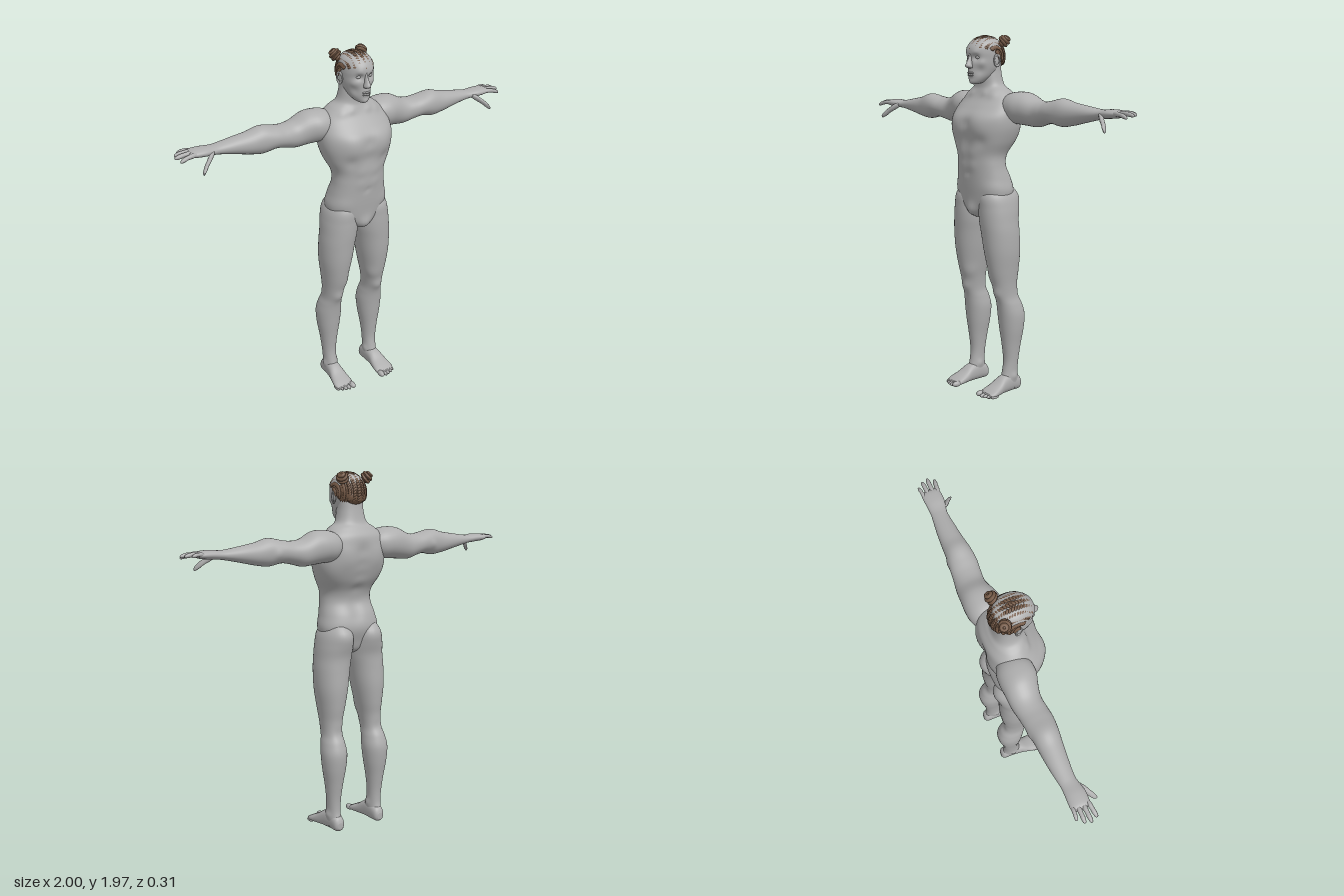
import * as THREE from 'three';
import { mergeGeometries } from 'three/addons/utils/BufferGeometryUtils.js';

const skin = new THREE.MeshStandardMaterial({ color: 0xaeaeae });
skin.name = 'skin grey';
const hair = new THREE.MeshStandardMaterial({ color: 0x735845 });
hair.name = 'hair brown';

// Smooth loft along an axis. Rows: [position, aMin, aMax, bMin, bMax], with
// (a, b) = (x, z) along y, (y, z) along x and (x, y) along z.
function loft(axis, rows, { sides = 40, steps = 6, power = 1, bumps = [] } = {}) {
  const pos = [], index = [];
  const put = (t, a, b) => pos.push(...(axis === 'y' ? [a, t, b] : axis === 'x' ? [t, a, b] : [a, b, t]));
  const at = i => rows[Math.min(rows.length - 1, Math.max(0, i))];
  const round = v => Math.sign(v) * Math.abs(v) ** power;
  const rings = (rows.length - 1) * steps + 1;
  for (let r = 0; r < rings; r++) {
    const i = Math.min(rows.length - 2, Math.floor(r / steps)), u = r / steps - i;
    const [t, a0, a1, b0, b1] = rows[0].map((_, k) => {
      const p = at(i - 1)[k], q = at(i)[k], s = at(i + 1)[k], w = at(i + 2)[k];
      return q + 0.5 * u * (s - p + u * (2 * p - 5 * q + 4 * s - w + u * (3 * (q - s) + w - p)));
    });
    for (let j = 0; j < sides; j++) {
      const g = j / sides * Math.PI * 2;
      put(t, (a0 + a1) / 2 + (a1 - a0) / 2 * round(Math.cos(g)), (b0 + b1) / 2 + (b1 - b0) / 2 * round(Math.sin(g)));
    }
  }
  for (const e of [at(0), at(rows.length)]) put(e[0], (e[1] + e[2]) / 2, (e[3] + e[4]) / 2);
  const n = rings * sides;
  for (let j = 0; j < sides; j++) {
    const k = (j + 1) % sides;
    for (let r = 0; r < rings - 1; r++) {
      const a = r * sides + j, b = r * sides + k;
      index.push(a, a + sides, b, b, a + sides, b + sides);
    }
    index.push(n, j, k, n + 1, n - sides + k, n - sides + j);
  }
  if (axis === 'z' ? rows[0][0] < at(rows.length)[0] : false) index.reverse();
  const geo = new THREE.BufferGeometry();
  geo.setAttribute('position', new THREE.Float32BufferAttribute(pos, 3));
  geo.setIndex(index);
  outward(geo);
  geo.computeVertexNormals();
  if (bumps.length) sculpt(geo, bumps);
  return geo;
}

// Turns the faces outward when the enclosed volume is negative
function outward(geo) {
  const p = geo.attributes.position, id = geo.index.array;
  const [a, b, c] = [0, 1, 2].map(() => new THREE.Vector3());
  let volume = 0;
  for (let i = 0; i < id.length; i += 3) {
    a.fromBufferAttribute(p, id[i]); b.fromBufferAttribute(p, id[i + 1]); c.fromBufferAttribute(p, id[i + 2]);
    volume += a.dot(b.cross(c));
  }
  if (volume < 0) id.reverse();
}

// Soft swellings and hollows: [x, y, z, radius, height]
function sculpt(geo, bumps) {
  const p = geo.attributes.position, n = geo.attributes.normal;
  for (let i = 0; i < p.count; i++) {
    let d = 0;
    for (const [x, y, z, r, h] of bumps)
      d += h * Math.exp(-((p.getX(i) - x) ** 2 + (p.getY(i) - y) ** 2 + (p.getZ(i) - z) ** 2) / (r * r));
    p.setXYZ(i, p.getX(i) + n.getX(i) * d, p.getY(i) + n.getY(i) * d, p.getZ(i) + n.getZ(i) * d);
  }
  geo.computeVertexNormals();
}

const both = list => list.flatMap(([x, ...r]) => [[x, ...r], [-x, ...r]]);
const even = rows => rows.map(([t, w, b0, b1]) => [t, -w, w, b0, b1]);
const ball = (x, y, z, rx, ry, rz, w = 16, h = 12) => new THREE.SphereGeometry(1, w, h).scale(rx, ry, rz).translate(x, y, z);

export function createModel() {
  const model = new THREE.Group();
  model.name = 'figure';
  const add = (name, geo, mat = skin) => {
    const m = new THREE.Mesh(geo, mat);
    m.name = name;
    model.add(m);
  };
  const pair = (name, geo, mat) => {
    add('left' + name, geo, mat);
    const g = geo.clone().scale(-1, 1, 1);
    g.index.array.reverse();
    g.computeVertexNormals();
    add('right' + name, g, mat);
  };

  // Torso and neck
  const spine = [1.2, 1.27, 1.34, 1.41, 1.48, 1.55].map(y => [0, y, y < 1.37 ? -0.085 : -0.145, 0.04, -0.013]);
  add('torso', loft('y', even([
    [0.985, 0.02, -0.04, 0.06], [1.01, 0.07, -0.08, 0.09], [1.06, 0.15, -0.1, 0.108], [1.13, 0.175, -0.12, 0.118],
    [1.2, 0.162, -0.108, 0.125], [1.27, 0.149, -0.078, 0.13], [1.33, 0.15, -0.087, 0.134], [1.4, 0.182, -0.125, 0.142],
    [1.47, 0.204, -0.148, 0.145], [1.53, 0.208, -0.155, 0.138], [1.58, 0.2, -0.154, 0.105], [1.63, 0.175, -0.146, 0.066],
    [1.67, 0.133, -0.12, 0.047], [1.7, 0.089, -0.1, 0.04], [1.76, 0.073, -0.087, 0.042], [1.82, 0.07, -0.08, 0.03],
  ]), { sides: 64, power: 0.88, bumps: [
    ...spine, [0, 1.5, 0.14, 0.03, -0.008], [0, 1.03, 0.1, 0.035, 0.018],
    [0, 1.23, 0.13, 0.015, -0.006], [0, 1.41, 0.15, 0.05, -0.01],
    ...both([[0.085, 1.49, 0.13, 0.065, 0.013], [0.1, 1.4, 0.13, 0.035, -0.008], [0.1, 1.52, -0.15, 0.06, 0.008],
      [0.15, 1.44, -0.1, 0.06, 0.006], [0.04, 1.34, 0.13, 0.03, 0.004], [0.04, 1.27, 0.13, 0.03, 0.004],
      [0.12, 1.15, 0.08, 0.04, 0.004], [0.05, 1.655, 0.05, 0.02, 0.006], [0.1, 1.645, 0.04, 0.025, 0.006]]),
  ] }));

  // Arms and palms
  pair('Arm', loft('x', [
    [0.08, 1.54, 1.62, -0.11, -0.03], [0.15, 1.5, 1.657, -0.148, 0.025], [0.21, 1.495, 1.667, -0.157, 0.032],
    [0.27, 1.49, 1.661, -0.154, 0.017], [0.34, 1.485, 1.628, -0.149, 0.006], [0.4, 1.5, 1.62, -0.14, 0.01],
    [0.46, 1.509, 1.628, -0.134, 0.015], [0.53, 1.497, 1.64, -0.125, 0.011], [0.6, 1.506, 1.622, -0.12, 0.002],
    [0.68, 1.524, 1.609, -0.114, -0.008], [0.76, 1.541, 1.597, -0.104, -0.016], [0.8, 1.548, 1.594, -0.1, -0.012],
    [0.85, 1.552, 1.598, -0.102, -0.002], [0.9, 1.557, 1.596, -0.104, -0.004], [0.925, 1.565, 1.588, -0.098, -0.012],
  ], { sides: 36, power: 0.95, bumps: [[0.24, 1.6, 0.03, 0.06, 0.006], [0.5, 1.56, -0.13, 0.02, 0.006]] }));

  // Fingers: [knuckle z, tip z, tip x, tip y]
  const digit = (x0, y0, z0, x1, y1, z1, r) => loft('x', [[0, 0.8], [0.3, 1], [0.55, 0.88], [0.75, 0.92], [0.95, 0.65], [1, 0.25]].map(([u, k]) => {
    const y = y0 + (y1 - y0) * u + 0.006 * Math.sin(u * Math.PI), z = z0 + (z1 - z0) * u;
    return [x0 + (x1 - x0) * u, y - r * k, y + r * k, z - r * k, z + r * k];
  }), { sides: 12, steps: 3 });
  const fingers = [[-0.017, -0.004, 0.985, 1.562], [-0.042, -0.038, 1, 1.572], [-0.067, -0.069, 0.99, 1.574], [-0.091, -0.099, 0.965, 1.575]];
  fingers.forEach(([z0, z1, x, y], i) => pair('Finger' + (i + 1), digit(0.89, 1.578, z0, x, y, z1, i === 3 ? 0.0105 : 0.0125)));
  pair('Thumb', digit(0.805, 1.568, -0.022, 0.892, 1.495, 0.042, 0.017));

  // Legs
  pair('Leg', loft('y', [
    [1.18, 0.06, 0.13, -0.07, 0.06], [1.11, 0.014, 0.177, -0.12, 0.104], [1.04, 0.003, 0.195, -0.127, 0.108],
    [0.97, 0.006, 0.203, -0.118, 0.106], [0.9, 0.018, 0.209, -0.118, 0.1], [0.8, 0.034, 0.208, -0.12, 0.09],
    [0.7, 0.055, 0.196, -0.112, 0.072], [0.62, 0.072, 0.187, -0.102, 0.05], [0.55, 0.08, 0.186, -0.11, 0.032],
    [0.5, 0.074, 0.198, -0.13, 0.018], [0.44, 0.068, 0.207, -0.146, 0.008], [0.36, 0.075, 0.202, -0.14, -0.002],
    [0.27, 0.09, 0.188, -0.124, -0.014], [0.18, 0.1, 0.178, -0.11, -0.022], [0.11, 0.102, 0.174, -0.108, -0.012],
    [0.06, 0.102, 0.174, -0.118, 0.005], [0.02, 0.108, 0.168, -0.115, 0],
  ], { power: 0.94, bumps: [[0.085, 1.09, -0.12, 0.06, 0.016], [0.13, 0.57, 0.04, 0.03, 0.009], [0.09, 0.66, 0.04, 0.04, 0.006],
    [0.13, 0.56, -0.11, 0.03, -0.006], [0.1, 0.1, -0.05, 0.02, 0.008], [0.176, 0.09, -0.06, 0.02, 0.008]] }));

  // Feet and toes
  pair('Foot', loft('z', [
    [-0.132, 0.12, 0.152, 0.015, 0.05], [-0.115, 0.104, 0.168, 0.001, 0.08], [-0.06, 0.099, 0.174, 0, 0.108],
    [0, 0.097, 0.181, 0, 0.095], [0.05, 0.09, 0.192, 0, 0.064], [0.095, 0.086, 0.199, 0, 0.043], [0.125, 0.092, 0.19, 0.004, 0.028],
  ], { sides: 28, power: 0.85 }));
  for (let i = 0; i < 5; i++) {
    const r = i ? 0.0115 - i * 0.0004 : 0.0165;
    pair('Toe' + (i + 1), ball(i ? 0.107 + i * 0.0205 : 0.102, r, 0.127 - i * i * 0.0017, r, r, 0.029));
  }

  // Head with brow, sockets, cheeks and jaw
  add('head', loft('y', even([
    [1.706, 0.015, 0.06, 0.085], [1.716, 0.034, 0.02, 0.1], [1.745, 0.058, -0.03, 0.105], [1.78, 0.073, -0.07, 0.107],
    [1.81, 0.081, -0.088, 0.109], [1.84, 0.085, -0.096, 0.108], [1.87, 0.087, -0.099, 0.112], [1.9, 0.085, -0.097, 0.107],
    [1.93, 0.072, -0.083, 0.084], [1.95, 0.045, -0.052, 0.05], [1.957, 0.012, -0.012, 0.014],
  ]), { sides: 64, bumps: [
    [0, 1.72, 0.1, 0.02, 0.005], [0, 1.736, 0.105, 0.014, -0.005], [0, 1.762, 0.107, 0.025, 0.005],
    ...both([[0.034, 1.846, 0.098, 0.018, -0.012], [0.035, 1.872, 0.105, 0.018, 0.005], [0.055, 1.815, 0.075, 0.02, 0.005], [0.05, 1.775, 0.08, 0.025, -0.006]]),
  ] }));
  add('nose', loft('y', even([
    [1.868, 0.008, 0.09, 0.112], [1.845, 0.0085, 0.09, 0.119], [1.822, 0.012, 0.09, 0.131],
    [1.803, 0.018, 0.088, 0.14], [1.793, 0.017, 0.088, 0.131], [1.789, 0.008, 0.09, 0.118],
  ]), { sides: 20, steps: 4 }));
  add('upperLip', ball(0, 1.765, 0.107, 0.024, 0.0055, 0.013));
  add('lowerLip', ball(0, 1.753, 0.105, 0.021, 0.006, 0.013));
  pair('Eye', ball(0.034, 1.846, 0.082, 0.015, 0.009, 0.014));
  pair('EarLobe', ball(0.087, 1.828, 0, 0.006, 0.029, 0.018));
  pair('EarRim', new THREE.TorusGeometry(0.02, 0.005, 8, 24).scale(0.85, 1.45, 1).rotateY(1.3).translate(0.092, 1.831, -0.002));

  // Hair cap with a hairline that drops behind the ears
  const onScalp = (dir, k = 1) => new THREE.Vector3(dir.x * 0.092 * k, 1.852 + dir.y * 0.106 * k, dir.z * 0.111 * k);
  const hairline = z => 1.803 + 0.082 * THREE.MathUtils.smoothstep(z, -0.55, 0.25);
  const cap = new THREE.SphereGeometry(1, 48, 20), cp = cap.attributes.position, uv = cap.attributes.uv;
  for (let i = 0; i < cp.count; i++) {
    const phi = uv.getX(i) * Math.PI * 2, end = Math.acos((hairline(Math.sin(phi)) - 1.852) / 0.106);
    const th = (1 - uv.getY(i)) * end;
    const v = onScalp(new THREE.Vector3(-Math.cos(phi) * Math.sin(th), Math.cos(th), Math.sin(phi) * Math.sin(th)));
    cp.setXYZ(i, v.x, v.y, v.z);
  }
  cap.computeVertexNormals();
  const capMat = hair.clone();
  capMat.side = THREE.DoubleSide;
  add('hairCap', cap, capMat);

  // Braids running from the forehead to the nape, as chains of slanted knots
  const knots = [];
  for (let b = -5; b <= 5; b++) {
    const x = Math.sin(b * 0.28), reach = Math.sqrt(1 - x * x);
    for (let s = 0; s <= 24; s++) {
      const a = 0.25 + s * 0.135, dir = new THREE.Vector3(x, Math.sin(a) * reach, Math.cos(a) * reach);
      const p = onScalp(dir, 1.005);
      if (p.y < hairline(dir.z) + 0.003) continue;
      const knot = new THREE.SphereGeometry(1, 8, 6).scale(0.014, 0.0065, 0.008).rotateY((b < 0 ? -1 : 1) * 0.6);
      knot.applyQuaternion(new THREE.Quaternion().setFromUnitVectors(new THREE.Vector3(0, 1, 0), dir));
      knots.push(knot.translate(p.x, p.y, p.z));
    }
  }
  add('braids', mergeGeometries(knots), hair);

  // Coiled buns and the gathered hair at the nape
  const coil = [ball(0, 0, 0, 0.026, 0.026, 0.026), ball(0, -0.022, 0, 0.02, 0.022, 0.02)];
  [[0.024, -0.01], [0.023, 0.006], [0.013, 0.019]].forEach(([r, y], i) =>
    coil.push(new THREE.TorusGeometry(r, 0.0095, 8, 20).rotateX(Math.PI / 2 + 0.2 * (i - 1)).translate(0, y, 0)));
  const tilt = new THREE.Quaternion().setFromUnitVectors(new THREE.Vector3(0, 1, 0), new THREE.Vector3(0.55, 0.7, -0.45).normalize());
  pair('Bun', mergeGeometries(coil).applyQuaternion(tilt).translate(0.079, 1.935, -0.066), hair);
  add('napeHair', ball(0, 1.835, -0.078, 0.062, 0.042, 0.034, 24, 16), hair);
  return model;
}
